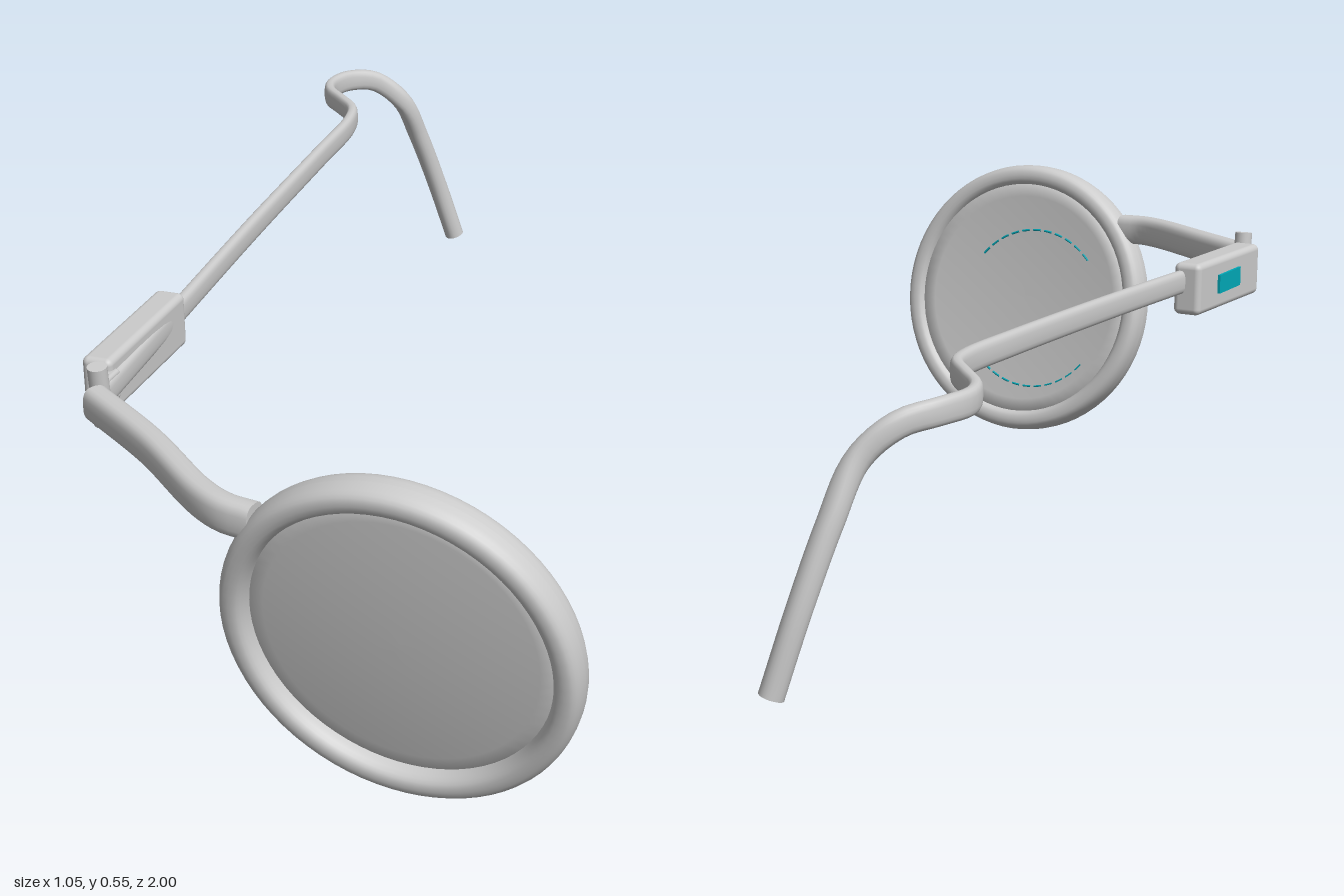
import * as THREE from 'three';
import { RoundedBoxGeometry } from 'three/addons/geometries/RoundedBoxGeometry.js';

const grey = new THREE.MeshStandardMaterial({ color: 0xcccccc });
const teal = new THREE.MeshStandardMaterial({ color: 0x00a9b8 });

function add(parent, name, geometry, material = grey) {
  const mesh = new THREE.Mesh(geometry, material);
  mesh.name = name;
  parent.add(mesh);
  return mesh;
}

// Point on a softened rectangle with half sizes a and b
function softRect(angle, a, b, power) {
  const f = (v) => Math.sign(v) * Math.abs(v) ** power;
  return [a * f(Math.cos(angle)), b * f(Math.sin(angle))];
}

// Sweeps a softened rectangle along a curve; size(t) gives [half width, half height, power]
function sweep(points, steps, size, sides = 20) {
  const curve = new THREE.CatmullRomCurve3(points.map((p) => new THREE.Vector3(...p)));
  const up = new THREE.Vector3(0, 1, 0);
  const pos = [], index = [];
  const ring = (t) => {
    const c = curve.getPointAt(t), dir = curve.getTangentAt(t);
    const side = up.clone().cross(dir).normalize();
    const top = dir.clone().cross(side);
    for (let j = 0; j < sides; j++) {
      const [u, v] = softRect((j / sides) * Math.PI * 2, ...size(t));
      pos.push(...c.clone().addScaledVector(side, u).addScaledVector(top, v).toArray());
    }
  };
  for (let i = 0; i <= steps; i++) ring(i / steps);
  for (let i = 0; i < steps; i++) {
    for (let j = 0; j < sides; j++) {
      const k = (j + 1) % sides;
      const a = i * sides + j, b = i * sides + k;
      index.push(a, b, b + sides, a, b + sides, a + sides);
    }
  }
  // Flat end caps with their own vertices
  for (const t of [0, 1]) {
    const base = pos.length / 3;
    ring(t);
    for (let j = 1; j < sides - 1; j++) {
      if (t) index.push(base, base + j, base + j + 1);
      else index.push(base, base + j + 1, base + j);
    }
  }
  const g = new THREE.BufferGeometry();
  g.setAttribute('position', new THREE.Float32BufferAttribute(pos, 3));
  g.setIndex(index);
  g.computeVertexNormals();
  return g;
}

export function createModel() {
  const model = new THREE.Group();
  model.name = 'eyepiece';

  // Tilted round lens assembly, built facing +z
  const lensGroup = new THREE.Group();
  lensGroup.name = 'lensAssembly';
  lensGroup.position.set(0.244, 0.279, 0.918);
  lensGroup.rotation.set(0.172, -0.04, 0);
  model.add(lensGroup);

  const rimProfile = [];
  for (let i = 0; i <= 24; i++) {
    const [r, h] = softRect((i / 24) * Math.PI * 2, 0.022, 0.033, 0.8);
    rimProfile.push(new THREE.Vector2(0.258 + r, h));
  }
  add(lensGroup, 'rim', new THREE.LatheGeometry(rimProfile, 72).rotateX(Math.PI / 2));

  // Slightly domed lens
  const lensProfile = [];
  const dome = (r) => 0.012 * (1 - (r / 0.245) ** 2);
  for (let i = 0; i <= 8; i++) lensProfile.push(new THREE.Vector2(0.245 * i / 8, -0.022 + dome(0.245 * i / 8)));
  for (let i = 8; i >= 0; i--) lensProfile.push(new THREE.Vector2(0.245 * i / 8, 0.004 + dome(0.245 * i / 8)));
  add(lensGroup, 'lens', new THREE.LatheGeometry(lensProfile, 64).rotateX(Math.PI / 2));

  // Fine dashed arcs on the back of the lens
  for (const middle of [Math.PI / 2, -Math.PI / 2]) {
    for (let i = 0; i < 11; i++) {
      const dash = new THREE.TorusGeometry(0.165, 0.0022, 6, 4, 0.11);
      dash.rotateZ(middle - 0.88 + i * 0.16);
      const mesh = add(lensGroup, 'lensMark', dash, teal);
      mesh.position.set(-0.025, -0.02, -0.0165);
    }
  }

  // Bent arm from the rim to the hinge
  add(model, 'frontArm', sweep([
    [0.03, 0.443, 0.936], [-0.02, 0.445, 0.928], [-0.07, 0.447, 0.9],
    [-0.2, 0.454, 0.79], [-0.345, 0.457, 0.685],
  ], 30, () => [0.022, 0.029, 0.7]));

  // Hinge pin and knuckle
  const pin = add(model, 'hingePin', new THREE.CylinderGeometry(0.016, 0.016, 0.104, 20));
  pin.position.set(-0.348, 0.459, 0.662);
  pin.rotation.x = 0.12;
  const knuckle = add(model, 'hingeKnuckle', new RoundedBoxGeometry(0.024, 0.05, 0.06, 2, 0.006));
  knuckle.position.set(-0.352, 0.457, 0.635);

  // Housing on the temple
  const housing = add(model, 'housing', new RoundedBoxGeometry(0.052, 0.094, 0.28, 4, 0.011));
  housing.position.set(-0.373, 0.456, 0.485);
  housing.rotation.x = 0.02;
  const button = add(model, 'button', new THREE.BoxGeometry(0.01, 0.034, 0.095), teal);
  button.position.set(-0.399, 0.457, 0.475);

  // Temple with its sideways loop and ear hook, growing rounder at the tip
  add(model, 'temple', sweep([
    [-0.346, 0.456, 0.66], [-0.36, 0.471, 0.35], [-0.375, 0.487, 0], [-0.388, 0.499, -0.35],
    [-0.396, 0.503, -0.52], [-0.413, 0.504, -0.58], [-0.455, 0.503, -0.63], [-0.499, 0.501, -0.68],
    [-0.514, 0.5, -0.73], [-0.5, 0.498, -0.79], [-0.462, 0.485, -0.838], [-0.417, 0.437, -0.872],
    [-0.395, 0.35, -0.912], [-0.368, 0.23, -0.952], [-0.339, 0.108, -0.98],
  ], 120, (t) => {
    const k = THREE.MathUtils.smoothstep(t, 0.72, 0.86);
    return [0.011 + 0.009 * k, 0.021 - 0.002 * k, 0.7 + 0.2 * k];
  }));

  return model;
}
